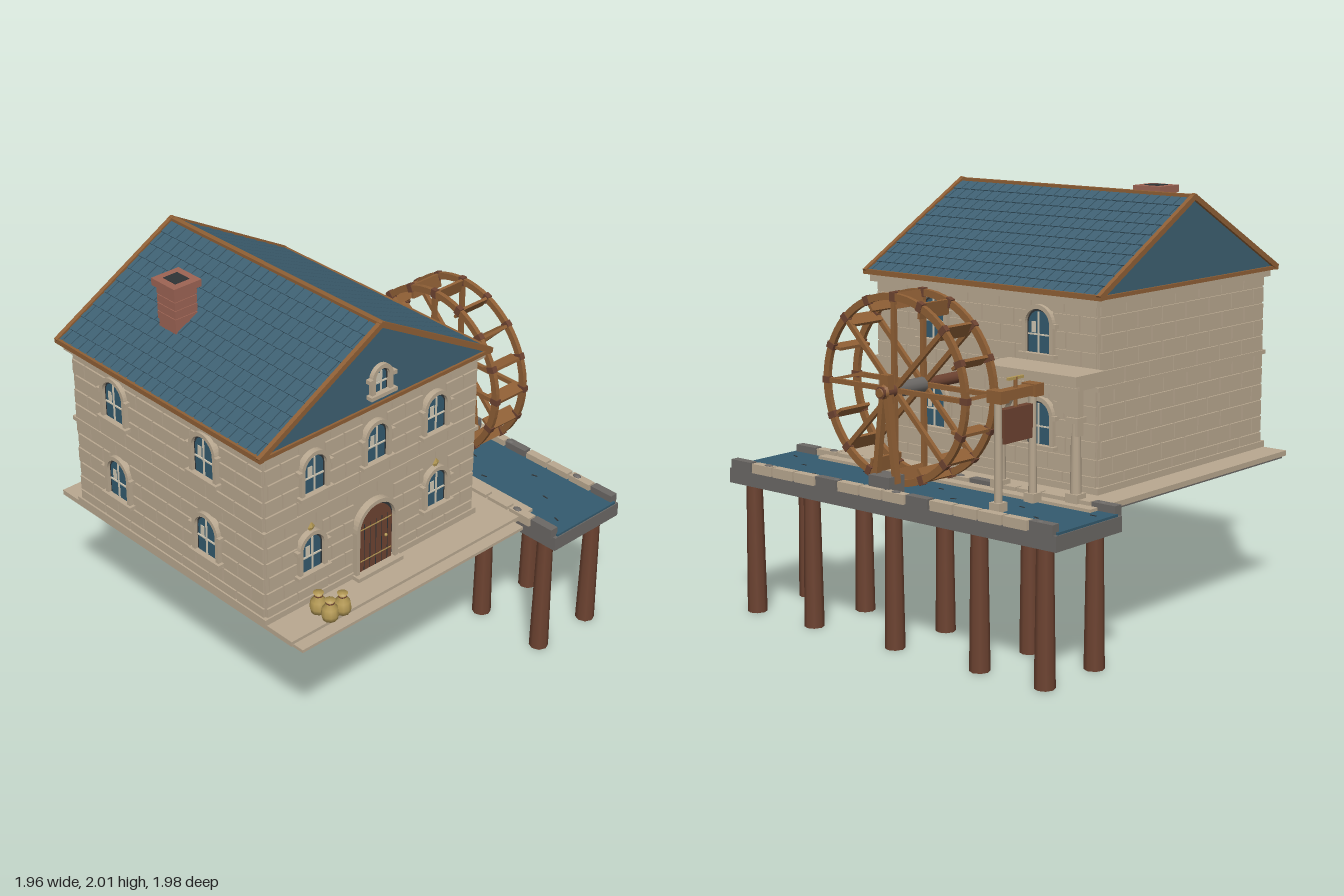
import * as THREE from 'three';
import { mergeGeometries } from 'three/addons/utils/BufferGeometryUtils.js';

const material = (name, color, extra = {}) => {
  const m = new THREE.MeshStandardMaterial({ color, ...extra });
  m.name = name;
  return m;
};

export function createModel() {
  const stone = material('stone', 0xb9a890);
  const slate = material('slate', 0x3e6072);
  const water = material('water and glass', 0x335a6e, { side: THREE.DoubleSide });
  const wood = material('wood', 0x8f5f35);
  const redwood = material('red wood', 0x6d4331);
  const gray = material('gray stone', 0x6b6865);
  const dark = material('dark', 0x2f3336, { side: THREE.DoubleSide });
  const brick = material('brick', 0x9d6454);
  const gold = material('gold', 0xb59a55);
  const cream = material('cream', 0xd0c8b4);

  const model = new THREE.Group();
  model.name = 'watermill';
  const add = (name, geo, mat, x = 0, y = 0, z = 0, parent = model) => {
    const m = new THREE.Mesh(geo, mat);
    m.name = name;
    m.position.set(x, y, z);
    parent.add(m);
    return m;
  };
  const box = (name, mat, w, h, d, x, y, z, parent) =>
    add(name, new THREE.BoxGeometry(w, h, d), mat, x, y, z, parent);
  const cyl = (name, mat, r0, r1, h, n, x, y, z, parent) =>
    add(name, new THREE.CylinderGeometry(r0, r1, h, n), mat, x, y, z, parent);
  const group = (name, parent = model) => {
    const g = new THREE.Group();
    g.name = name;
    parent.add(g);
    return g;
  };
  const boxAt = (w, h, d, x, y, z) => new THREE.BoxGeometry(w, h, d).translate(x, y, z);
  const extrude = (shape, depth) =>
    new THREE.ExtrudeGeometry(shape, { depth, bevelEnabled: false, curveSegments: 10 });

  // round-headed outline standing on y = 0
  const archShape = (w, h, Type = THREE.Shape, y0 = 0) => {
    const s = new Type(), r = w / 2;
    s.moveTo(-r, y0);
    s.lineTo(r, y0);
    s.lineTo(r, h - r);
    s.absarc(0, h - r, r, 0, Math.PI, false);
    s.lineTo(-r, y0);
    return s;
  };
  const archFrame = (w, h, t) => {
    const s = archShape(w + 2 * t, h + t);
    s.holes.push(archShape(w, h, THREE.Path, 0.001));
    return s;
  };

  // window in a wall's own frame: x along, z outward
  const addWindow = (parent, x, y, w = 0.125, h = 0.185) => {
    const g = group('window', parent);
    g.position.set(x, y, 0);
    add('windowFrame', extrude(archFrame(w, h, 0.02), 0.03), stone, 0, 0, 0, g);
    add('windowRecess', new THREE.ShapeGeometry(archShape(w, h)), dark, 0, 0, 0.012, g);
    add('windowGlass', new THREE.ShapeGeometry(archShape(w - 0.02, h - 0.012)), water, 0, 0.002, 0.015, g);
    box('mullion', cream, 0.007, h - 0.015, 0.006, 0, h / 2 - 0.005, 0.018, g);
    box('glazingBar', cream, w - 0.02, 0.007, 0.006, 0, h * 0.42, 0.018, g);
    box('glint', cream, 0.024, 0.05, 0.003, -w * 0.2, h * 0.58, 0.017, g);
    box('windowSill', stone, w + 0.07, 0.018, 0.045, 0, -0.008, 0.02, g);
    for (const s of [-1, 1]) box('hoodEnd', stone, 0.02, 0.02, 0.035, s * (w / 2 + 0.028), h - w / 2, 0.0175, g);
  };

  // wall faced with staggered blocks, leaving room for the openings [x, y, w, h]
  const H0 = 0.72, H1 = 1.59, rows = 11;
  const addWall = (name, length, x, z, turn, openings) => {
    const g = group(name), geos = [], rh = (H1 - H0) / rows;
    g.position.set(x, 0, z);
    g.rotation.y = turn;
    const n = Math.round(length / 0.19), bw = length / n;
    for (let r = 0; r < rows; r++) {
      const y0 = H0 + r * rh;
      for (let i = 0; i <= n; i++) {
        const from = -length / 2 + (i - (r % 2) / 2) * bw + (r % 3) * 0.008;
        let parts = [[Math.max(from, -length / 2) + 0.004, Math.min(from + bw, length / 2) - 0.004]];
        for (const [ox, oy, ow, oh] of openings) {
          if (y0 + rh < oy || y0 > oy + oh) continue;
          parts = parts.flatMap(([a, b]) => [[a, Math.min(b, ox - ow / 2)], [Math.max(a, ox + ow / 2), b]]);
        }
        for (const [a, b] of parts)
          if (b - a > 0.01) geos.push(boxAt(b - a, rh - 0.009, 0.01, (a + b) / 2, y0 + rh / 2, 0.004));
      }
    }
    add('stoneBlocks', mergeGeometries(geos), stone, 0, 0, 0, g);
    return g;
  };

  // house body
  const cx = -0.275, cz = -0.07, W = 1.29, D = 1.32;
  box('houseCore', stone, W, 0.88, D, cx, 1.16, cz);
  box('plinth', stone, W + 0.035, 0.03, D + 0.035, cx, 0.735, cz);
  box('stringCourse', stone, W + 0.03, 0.02, D + 0.03, cx, 1.19, cz);
  box('cornice', stone, W + 0.07, 0.035, D + 0.04, cx, 1.575, cz);
  const upper = 1.3, lower = 0.895;
  const hole = ([x, y]) => [x, y - 0.01, 0.15, 0.2];
  const frontWins = [[-0.37, upper], [0, upper], [0.37, upper], [-0.385, lower], [0.385, lower]];
  const sideWins = [[-0.29, upper + 0.02], [0.34, upper + 0.02], [-0.29, lower + 0.01], [0.34, lower + 0.01]];
  const front = addWall('frontWall', W, cx, cz + D / 2, 0, [...frontWins.map(hole), [0, 0.72, 0.25, 0.37]]);
  const right = addWall('wheelSideWall', D, cx + W / 2, cz, Math.PI / 2, sideWins.map(hole));
  const left = addWall('plainSideWall', D, cx - W / 2, cz, -Math.PI / 2, sideWins.map(([x, y]) => hole([-x, y])));
  addWall('backWall', W, cx, cz - D / 2, Math.PI, []);
  frontWins.forEach(([x, y]) => addWindow(front, x, y));
  sideWins.forEach(([x, y]) => { addWindow(right, x, y, 0.14, 0.2); addWindow(left, -x, y, 0.14, 0.2); });
  for (const x of [-0.385, 0.385]) {
    const d = add('diamondOrnament', new THREE.OctahedronGeometry(0.027), gold, x, 1.115, 0.012, front);
    d.scale.set(0.8, 1, 0.3);
  }

  // door
  const door = group('door', front);
  door.position.set(0, 0.735, 0);
  add('doorFrame', extrude(archFrame(0.22, 0.34, 0.02), 0.035), stone, 0, 0, 0, door);
  add('doorRecess', new THREE.ShapeGeometry(archShape(0.22, 0.34)), dark, 0, 0, 0.012, door);
  add('doorLeaf', extrude(archShape(0.2, 0.325), 0.008), redwood, 0, 0, 0.013, door);
  for (let i = -2; i <= 2; i++) box('plankGap', dark, 0.003, 0.25, 0.002, i * 0.036, 0.13, 0.0215, door);
  for (const y of [0.06, 0.23]) box('doorStrap', gold, 0.19, 0.005, 0.003, 0, y, 0.022, door);
  add('doorKnob', new THREE.SphereGeometry(0.008, 8, 6), gold, 0.06, 0.14, 0.025, door);
  box('doorStep', stone, 0.28, 0.02, 0.06, 0, -0.005, 0.03, door);

  // roof: prism, overlapping shingles, timber trim
  const rx = -0.28, half = 0.69, rise = 0.385, eave = 1.6, zb = -0.765, zf = 0.625;
  const tri = new THREE.Shape([[-half, 0], [half, 0], [0, rise]].map(p => new THREE.Vector2(...p)));
  add('roofBody', extrude(tri, zf - zb), slate, rx, eave, zb);
  const ang = Math.atan2(rise, half), len = Math.hypot(rise, half), zm = (zf + zb) / 2;
  const tiles = [], nRows = 10, nCols = 24, tw = (zf - zb) / nCols;
  for (const s of [-1, 1])
    for (let r = 0; r < nRows; r++)
      for (let c = 0; c < nCols + (r % 2); c++) {
        const a = Math.max(zb, zb + (c - (r % 2) / 2) * tw), b = Math.min(zf, zb + (c + 1 - (r % 2) / 2) * tw);
        const t = (r + 0.5) * len / nRows;
        tiles.push(new THREE.BoxGeometry(len / nRows + 0.006, 0.008, b - a - 0.006).rotateZ(-s * (ang - 0.06))
          .translate(rx + s * (t * Math.cos(ang) + 0.002), eave + rise - t * Math.sin(ang) + 0.004, (a + b) / 2));
      }
  add('roofShingles', mergeGeometries(tiles), slate);
  for (const s of [-1, 1]) {
    for (const z of [zf + 0.004, zb - 0.004])
      box('vergeBoard', wood, len + 0.015, 0.026, 0.022, rx + s * half / 2, eave + rise / 2 + 0.005, z).rotation.z = -s * ang;
    box('eaveBoard', wood, 0.022, 0.024, zf - zb + 0.03, rx + s * (half - 0.002), eave + 0.002, zm);
  }
  for (const z of [zf, zb]) box('gableFootBoard', wood, 2 * half, 0.018, 0.022, rx, eave, z);
  box('ridgeBoard', wood, 0.026, 0.024, zf - zb + 0.03, rx, eave + rise + 0.003, zm);
  const gable = group('gableWindow');
  gable.position.set(rx, 1.665, zf - 0.008);
  addWindow(gable, 0, 0, 0.085, 0.115);

  // chimney
  const chim = group('chimney');
  chim.position.set(-0.65, 0, -0.285);
  box('chimneyStack', brick, 0.118, 0.22, 0.118, 0, 1.84, 0, chim);
  for (let i = 0; i < 4; i++) box('brickCourse', brick, 0.126, 0.036, 0.126, 0, 1.81 + i * 0.042, 0, chim);
  box('chimneyCap', brick, 0.155, 0.035, 0.16, 0, 1.972, 0, chim);
  box('flue', dark, 0.08, 0.006, 0.085, 0, 1.989, 0, chim);

  // terrace
  box('terrace', stone, 1.54, 0.025, 1.65, -0.16, 0.7075, -0.055);
  box('terraceStep', stone, 1.4, 0.015, 0.1, -0.22, 0.6975, 0.78);
  box('terraceUnderside', gray, 1.5, 0.012, 1.63, -0.16, 0.69, -0.055);

  // raised channel on posts
  box('channelBed', gray, 0.45, 0.07, 1.98, 0.753, 0.66, 0);
  box('channelWater', water, 0.41, 0.012, 1.97, 0.755, 0.7, 0);
  for (let i = 0; i < 12; i++)
    box('ripple', dark, 0.006, 0.003, 0.03, 0.64 + ((i * 7) % 11) * 0.026, 0.707, -0.92 + i * 0.165)
      .rotation.y = 0.3 * Math.sin(i * 5);
  const blocks = 14, step = 1.96 / blocks;
  for (const [x, w] of [[0.535, 0.045], [0.96, 0.042]])
    for (let i = 0; i < blocks; i++) {
      const isGray = [0, 5, 9, 13].includes(i);
      box('curbBlock', isGray ? gray : stone, w, isGray ? 0.05 : 0.045, step - 0.012, x, 0.715, -0.98 + (i + 0.5) * step);
    }
  for (const x of [0.535, 0.96])
    for (const z of [-0.89, -0.07, 0.3, 0.74])
      add('curbPebble', new THREE.SphereGeometry(0.024, 8, 6), gray, x, 0.737, z).scale.set(0.7, 0.35, 1);
  for (const x of [0.575, 0.915])
    for (const z of [0.89, 0.505, -0.01, -0.515, -0.88]) cyl('pile', redwood, 0.038, 0.047, 0.63, 8, x, 0.315, z);

  // water wheel
  const wheel = group('waterWheel');
  wheel.position.set(0.745, 1.163, 0.045);
  const R = 0.435;
  const ring = new THREE.Shape().absarc(0, 0, R, 0, Math.PI * 2);
  ring.holes.push(new THREE.Path().absarc(0, 0, R - 0.032, 0, Math.PI * 2));
  const rimGeo = new THREE.ExtrudeGeometry(ring, { depth: 0.022, bevelEnabled: false, curveSegments: 32 })
    .translate(0, 0, -0.011).rotateY(Math.PI / 2);
  for (const x of [-0.095, 0.095]) {
    add('wheelRim', rimGeo, wood, x, 0, 0, wheel);
    for (let i = 0; i < 4; i++)
      box('spokePair', wood, 0.02, 2 * R - 0.04, 0.022, x, 0, 0, wheel).rotation.x = i * Math.PI / 4;
  }
  for (let i = 0; i < 16; i++) {
    const arm = group('paddle', wheel);
    arm.rotation.x = i * Math.PI / 8;
    box('paddleBoard', wood, 0.19, 0.07, 0.014, 0, R - 0.037, 0, arm).rotation.x = 0.25;
    for (const x of [-0.095, 0.095]) box('rimClamp', redwood, 0.028, 0.042, 0.03, x, R - 0.016, 0, arm);
  }
  cyl('axle', redwood, 0.028, 0.028, 0.55, 12, -0.085, 0, 0, wheel).rotation.z = Math.PI / 2;
  cyl('hubDrum', gray, 0.036, 0.036, 0.18, 12, 0, 0, 0, wheel).rotation.z = Math.PI / 2;
  cyl('axleCap', wood, 0.02, 0.035, 0.03, 8, 0.18, 0, 0, wheel).rotation.z = -Math.PI / 2;

  // trestle carrying the axle
  for (const s of [-1, 1]) box('trestleLeg', wood, 0.03, 0.43, 0.026, 0.9, 0.97, 0.045 + s * 0.035).rotation.x = -s * 0.13;
  box('trestleHead', wood, 0.04, 0.13, 0.05, 0.89, 1.175, 0.045);
  box('trestleFoot', gray, 0.1, 0.09, 0.125, 0.9, 0.745, 0.045);

  // arched porch beside the channel
  const porch = group('porch');
  for (const z of [-0.315, -0.745]) {
    cyl('porchColumn', stone, 0.021, 0.026, 0.36, 10, 0.54, 0.9, z, porch);
    box('columnBase', stone, 0.065, 0.05, 0.065, 0.54, 0.735, z, porch);
    box('columnCapital', stone, 0.065, 0.025, 0.065, 0.54, 1.085, z, porch);
  }
  const span = new THREE.Shape();
  span.moveTo(-0.24, 0);
  span.lineTo(-0.19, 0);
  span.absarc(0, 0, 0.19, Math.PI, 0, true);
  span.lineTo(0.24, 0);
  span.lineTo(0.24, 0.21);
  span.lineTo(-0.24, 0.21);
  add('porchArch', extrude(span, 0.04).rotateY(Math.PI / 2), stone, 0.52, 1.015, -0.53, porch);
  box('porchLintel', stone, 0.17, 0.03, 0.51, 0.47, 1.23, -0.52, porch);
  box('porchSlab', stone, 0.21, 0.045, 0.55, 0.495, 1.262, -0.515, porch);

  // sluice gate
  const sluice = group('sluiceGate');
  sluice.position.set(0.75, 0, -0.58);
  for (const s of [-1, 1]) {
    cyl('sluicePost', stone, 0.017, 0.019, 0.48, 10, s * 0.115, 0.95, 0, sluice);
    box('postFoot', stone, 0.055, 0.04, 0.055, s * 0.115, 0.735, 0, sluice);
    box('beamEnd', wood, 0.055, 0.055, 0.08, s * 0.115, 1.215, 0, sluice);
  }
  box('sluiceBeam', wood, 0.28, 0.045, 0.05, 0, 1.215, 0, sluice);
  box('gateBoard', redwood, 0.19, 0.15, 0.035, 0, 1.08, 0, sluice);
  cyl('gateScrew', wood, 0.009, 0.009, 0.14, 8, 0, 1.215, 0, sluice);
  box('gateHandle', gold, 0.1, 0.012, 0.014, 0, 1.28, 0, sluice);

  // grain sacks
  const sackProfile = [[0, 0], [0.034, 0], [0.041, 0.025], [0.036, 0.06], [0.016, 0.085], [0.025, 0.102], [0, 0.1]]
    .map(p => new THREE.Vector2(...p));
  for (const [x, z] of [[-0.69, 0.68], [-0.69, 0.755], [-0.615, 0.755]]) {
    add('grainSack', new THREE.LatheGeometry(sackProfile, 10), gold, x, 0.72, z);
    add('sackTie', new THREE.TorusGeometry(0.017, 0.004, 5, 10).rotateX(Math.PI / 2), redwood, x, 0.805, z);
  }
  return model;
}
